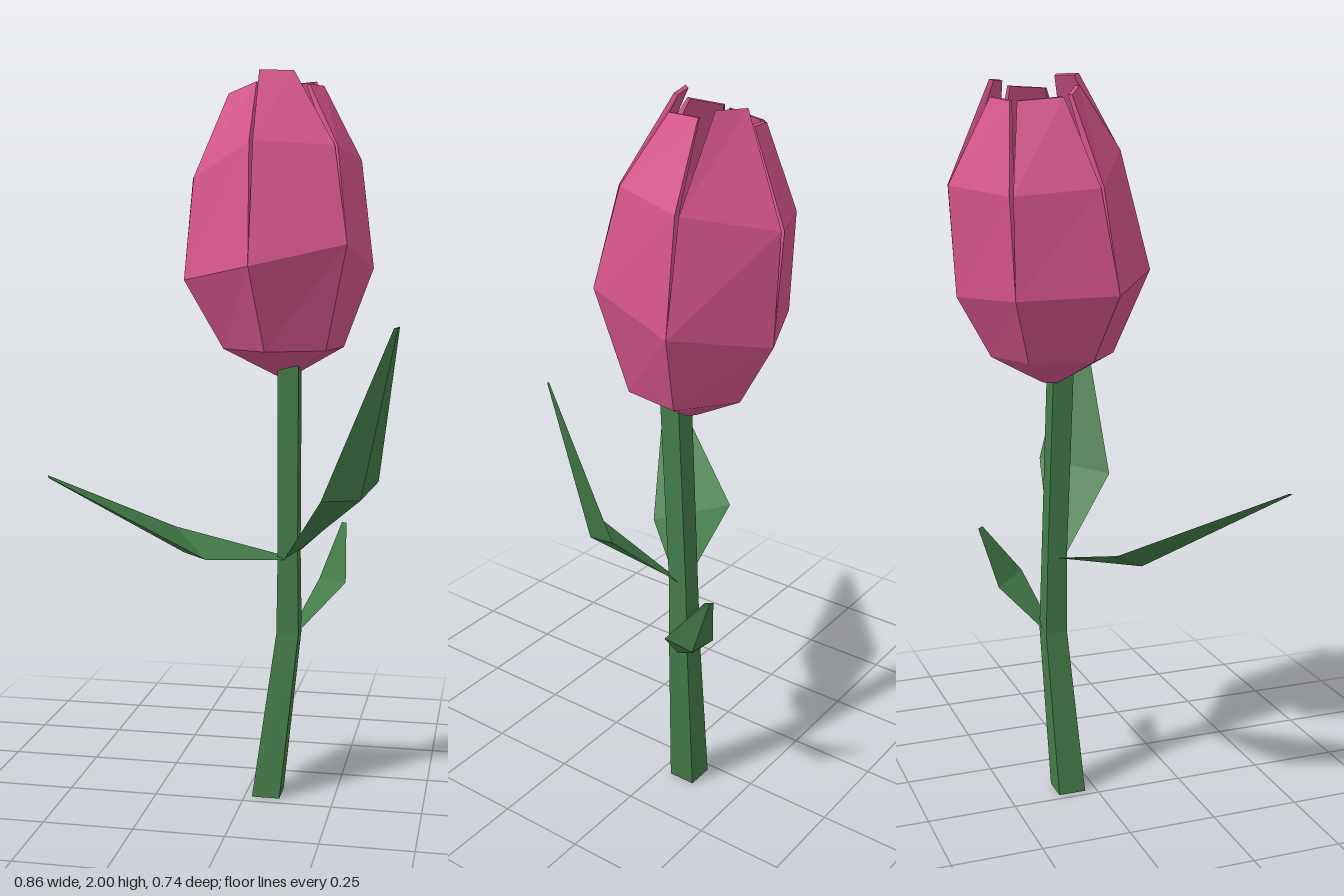
import * as THREE from 'three';

const V = (p) => new THREE.Vector3(...p);
const material = (color) => new THREE.MeshStandardMaterial({ color, flatShading: true, side: THREE.DoubleSide });

// Skins a row of equal-sized closed cross-sections and caps both ends.
function loft(name, sections, mat) {
  const n = sections[0].length;
  const pos = [];
  const tri = (...pts) => pts.forEach((p) => pos.push(p.x, p.y, p.z));
  for (let i = 0; i < sections.length - 1; i++) {
    const lo = sections[i], hi = sections[i + 1];
    for (let j = 0; j < n; j++) {
      const k = (j + 1) % n;
      tri(lo[j], lo[k], hi[k]);
      tri(lo[j], hi[k], hi[j]);
    }
  }
  const first = sections[0], last = sections[sections.length - 1];
  for (let j = 1; j < n - 1; j++) {
    tri(first[0], first[j + 1], first[j]);
    tri(last[0], last[j], last[j + 1]);
  }
  const geo = new THREE.BufferGeometry();
  geo.setAttribute('position', new THREE.Float32BufferAttribute(pos, 3));
  geo.computeVertexNormals();
  const mesh = new THREE.Mesh(geo, mat);
  mesh.name = name;
  return mesh;
}

// Square-sectioned stem with a slight bend
function createStem(mat) {
  const path = [[0.06, 0, -0.072, 0.039], [0.115, 0.47, -0.095, 0.031],
    [0.115, 0.7, -0.09, 0.028], [0.117, 1.22, -0.068, 0.029]];
  const sections = path.map(([x, y, z, r]) =>
    [[-1, 1], [1, 1], [1, -1], [-1, -1]].map(([sx, sz]) => V([x + sx * r, y, z + sz * r])));
  return loft('stem', sections, mat);
}

// Thin pointed leaf: narrow base, wide middle, narrow tip; a keel thickens the underside
function createLeaf(name, { base, left, right, tip, keel }, mat) {
  const l = V(left), r = V(right), b = V(base), t = V(tip);
  const across = r.clone().sub(l).normalize();
  const out = V(keel);
  const section = (p, q, thick) => [p, p.clone().lerp(q, 0.5).addScaledVector(out, thick), q];
  const around = (c, w, thick) =>
    section(c.clone().addScaledVector(across, -w), c.clone().addScaledVector(across, w), thick);
  return loft(name, [around(b, 0.02, 0.01), section(l, r, 1), around(t, 0.011, 0.1)], mat);
}

// Flower: six thick overlapping-style petals that share a tilted six-sided outline
function createFlower(mat) {
  const flower = new THREE.Group();
  flower.name = 'flower';
  const middle = [[0.045, 1.49, 0.165], [0.285, 1.545, 0.055], [0.33, 1.48, -0.195],
    [0.115, 1.43, -0.355], [-0.105, 1.44, -0.26], [-0.16, 1.45, 0]].map(V);
  const shoulder = [[0.035, 1.81, 0.075], [0.25, 1.8, 0], [0.295, 1.77, -0.2],
    [0.115, 1.72, -0.375], [-0.11, 1.7, -0.27], [-0.145, 1.72, -0.04]].map(V);
  const tips = [
    [[0.037, 2, -0.04], [0.125, 2, -0.07]], [[0.165, 1.965, -0.085], [0.19, 1.97, -0.185]],
    [[0.165, 1.985, -0.215], [0.1, 1.985, -0.26]], [[0.08, 1.94, -0.265], [-0.01, 1.93, -0.24]],
    [[-0.025, 1.93, -0.225], [-0.05, 1.94, -0.11]], [[-0.055, 1.945, -0.09], [0.03, 1.97, -0.04]]];
  const ring = (s, y) => middle.map((p) => V([0.1 + (p.x - 0.09) * s, y, -0.1 + (p.z + 0.1) * s]));
  const rings = [ring(0.1, 1.19), ring(0.64, 1.265), middle, shoulder];
  const axis = [[0.1, 1.25, -0.09], [0.1, 1.3, -0.1], [0.09, 1.48, -0.1], [0.08, 1.75, -0.13], [0.075, 1.95, -0.15]].map(V);
  const inset = [0.9, 0.35, 0.18, 0.15, 0.1];

  for (let i = 0; i < 6; i++) {
    const edges = rings.map((r) => [r[i], r[(i + 1) % 6]]);
    edges.push(tips[i].map(V));
    const sections = edges.map(([a, b], row) => {
      const gap = row === 3 ? 0.025 : 0;
      const p = a.clone().lerp(b, gap), q = b.clone().lerp(a, gap);
      return [p, q, q.clone().lerp(axis[row], inset[row]), p.clone().lerp(axis[row], inset[row])];
    });
    flower.add(loft('petal', sections, mat));
  }
  return flower;
}

export function createModel() {
  const model = new THREE.Group();
  model.name = 'tulip';
  const green = material(0x447c49);
  const pink = material(0xd6558b);

  model.add(createStem(green), createFlower(pink));
  model.add(
    createLeaf('leftLeaf', {
      base: [0.118, 0.685, -0.08], left: [0.23, 0.88, 0.118], right: [0.365, 0.91, -0.05],
      tip: [0.42, 1.335, 0.092], keel: [0.03, -0.02, 0.02],
    }, green),
    createLeaf('rightLeaf', {
      base: [0.1, 0.685, -0.075], left: [-0.195, 0.77, -0.03], right: [-0.07, 0.72, 0.15],
      tip: [-0.427, 0.965, 0.36], keel: [-0.015, -0.025, 0.01],
    }, green),
    createLeaf('backLeaf', {
      base: [0.135, 0.475, -0.11], left: [0.268, 0.605, -0.14], right: [0.18, 0.59, -0.235],
      tip: [0.247, 0.752, -0.267], keel: [0.02, -0.02, -0.025],
    }, green),
  );
  return model;
}
